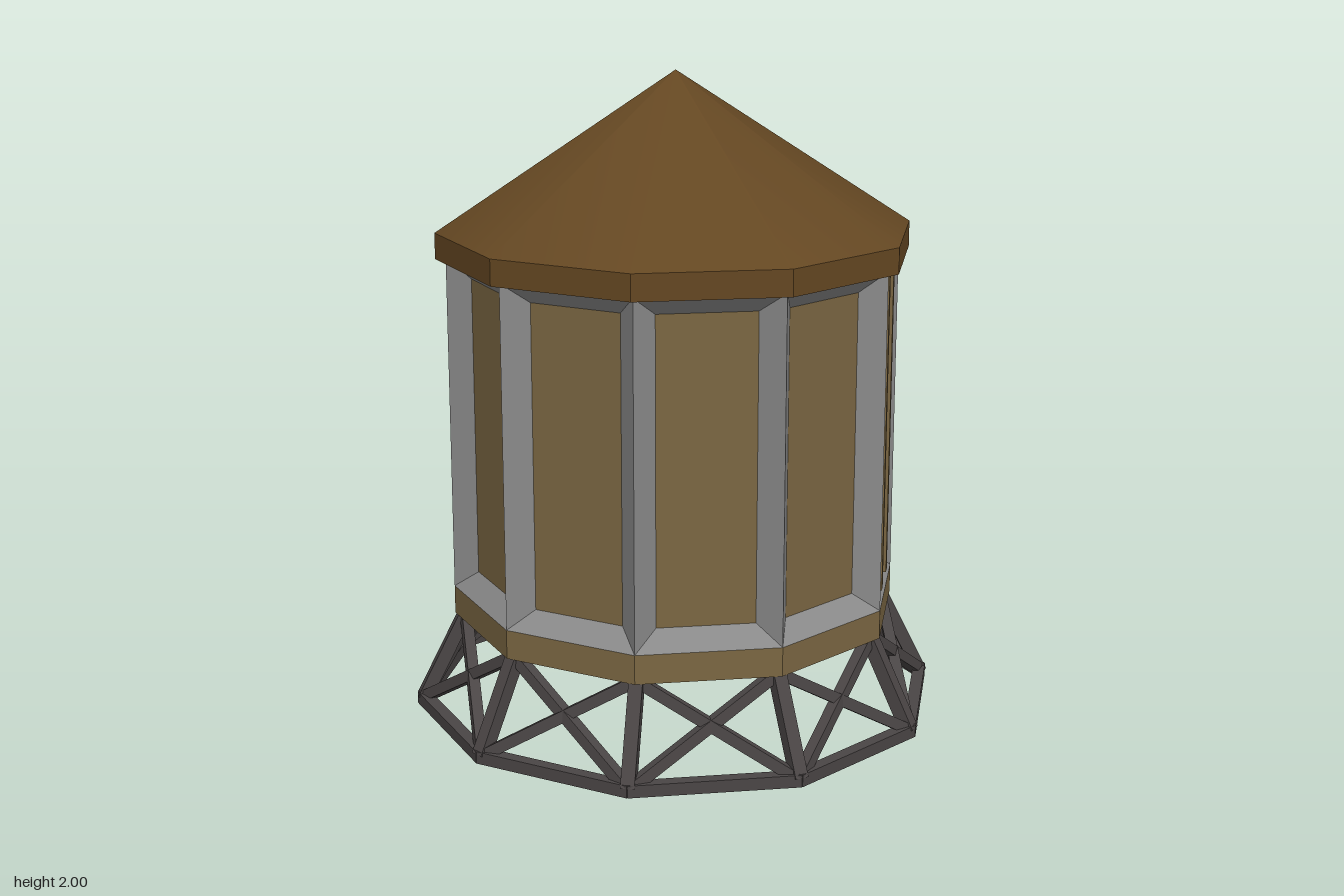
import * as THREE from 'three';

const SIDES = 10, STEP = (Math.PI * 2) / SIDES;
const material = (name, color, extra = {}) => {
  const m = new THREE.MeshStandardMaterial({ color, ...extra });
  m.name = name;
  return m;
};

// point on corner k of the ten-sided plan
const corner = (k, r, y) => new THREE.Vector3(r * Math.sin(k * STEP), y, r * Math.cos(k * STEP));

// geometry from a list of flat quads, corners counter-clockwise from outside
function quads(list) {
  const pos = [];
  for (const [a, b, c, d] of list) for (const p of [a, b, c, a, c, d]) pos.push(p.x, p.y, p.z);
  const g = new THREE.BufferGeometry();
  g.setAttribute('position', new THREE.Float32BufferAttribute(pos, 3));
  g.computeVertexNormals();
  return g;
}

export function createModel() {
  const wood = material('tan wood', 0x7a6642);
  const roofBrown = material('roof brown', 0x644722);
  const grey = material('grey metal', 0x8a8a8a);
  const dark = material('dark steel', 0x4a4545);

  const model = new THREE.Group();
  model.name = 'waterTower';
  const add = (name, geo, mat, parent = model) => {
    const mesh = new THREE.Mesh(geo, mat);
    mesh.name = name;
    parent.add(mesh);
    return mesh;
  };
  const group = (name) => {
    const g = new THREE.Group();
    g.name = name;
    model.add(g);
    return g;
  };
  const flat = (geo) => {
    const g = geo.toNonIndexed();
    g.computeVertexNormals();
    return g;
  };

  // roof: smooth cone over a faceted rim
  const cone = add('roofCone', new THREE.ConeGeometry(0.737, 0.48, SIDES, 1, true), roofBrown);
  cone.position.y = 1.76;
  const rim = add('roofRim', flat(new THREE.CylinderGeometry(0.737, 0.737, 0.08, SIDES)), roofBrown);
  rim.position.y = 1.48;

  // base band under the tank
  const R = 0.705;
  const band = add('baseBand', flat(new THREE.CylinderGeometry(R, R, 0.09, SIDES)), wood);
  band.position.y = 0.345;

  // tank wall: bevelled grey frames around recessed panels
  const y0 = 0.39, y1 = 1.445, inset = 0.07, rise = 0.06, depth = 0.055;
  const frames = [], panels = [];
  for (let k = 0; k < SIDES; k++) {
    const outer = [corner(k, R, y0), corner(k + 1, R, y0), corner(k + 1, R, y1), corner(k, R, y1)];
    const along = outer[1].clone().sub(outer[0]).normalize();
    const normal = corner(k + 0.5, 1, 0);
    const inner = outer.map((p, i) => {
      const q = p.clone().addScaledVector(along, i === 0 || i === 3 ? inset : -inset);
      q.addScaledVector(normal, -depth);
      q.y += i < 2 ? rise : -rise;
      return q;
    });
    for (let i = 0; i < 4; i++) {
      const j = (i + 1) % 4;
      frames.push([outer[i], outer[j], inner[j], inner[i]]);
    }
    panels.push(inner);
  }
  add('wallFrames', quads(frames), grey);
  add('wallPanels', quads(panels), wood);

  // supporting truss: ring, posts and crossed braces
  const truss = group('supportTruss');
  const beam = (name, a, b, size, up, extra = 0) => {
    const dir = b.clone().sub(a);
    const length = dir.length() + extra;
    dir.normalize();
    const side = new THREE.Vector3().crossVectors(up, dir).normalize();
    const top = new THREE.Vector3().crossVectors(dir, side);
    const mesh = add(name, new THREE.BoxGeometry(size, size, length), dark, truss);
    mesh.quaternion.setFromRotationMatrix(new THREE.Matrix4().makeBasis(side, top, dir));
    mesh.position.copy(a).add(b).multiplyScalar(0.5);
  };
  const rLow = 0.812, rHigh = 0.672, yLow = 0.02, yHigh = 0.3;
  for (let k = 0; k < SIDES; k++) {
    const out = corner(k + 0.5, 1, 0);
    beam('ringBeam', corner(k, rLow, yLow), corner(k + 1, rLow, yLow), 0.038, new THREE.Vector3(0, 1, 0), 0.01);
    beam('post', corner(k, rLow, yLow), corner(k, rHigh, yHigh), 0.042, corner(k, 1, 0));
    beam('brace', corner(k, rLow, yLow), corner(k + 1, rHigh, yHigh), 0.034, out);
    beam('brace', corner(k + 1, rLow, yLow), corner(k, rHigh, yHigh), 0.034, out);
  }

  // ladder in the left-hand recess
  const ladder = group('ladder');
  for (const s of [-1, 1]) {
    const rail = add('ladderRail', new THREE.BoxGeometry(0.034, 1.005, 0.036), wood, ladder);
    rail.position.set(0.65, 0.9175, s * 0.087);
  }
  const rungs = [0.435, 0.54, 0.675, 0.805, 0.92, 1.03, 1.145, 1.255, 1.365];
  for (const y of rungs) {
    const rung = add('ladderRung', new THREE.CylinderGeometry(0.006, 0.006, 0.15, 8), grey, ladder);
    rung.rotation.x = Math.PI / 2;
    rung.position.set(0.65, y, 0);
  }
  return model;
}
